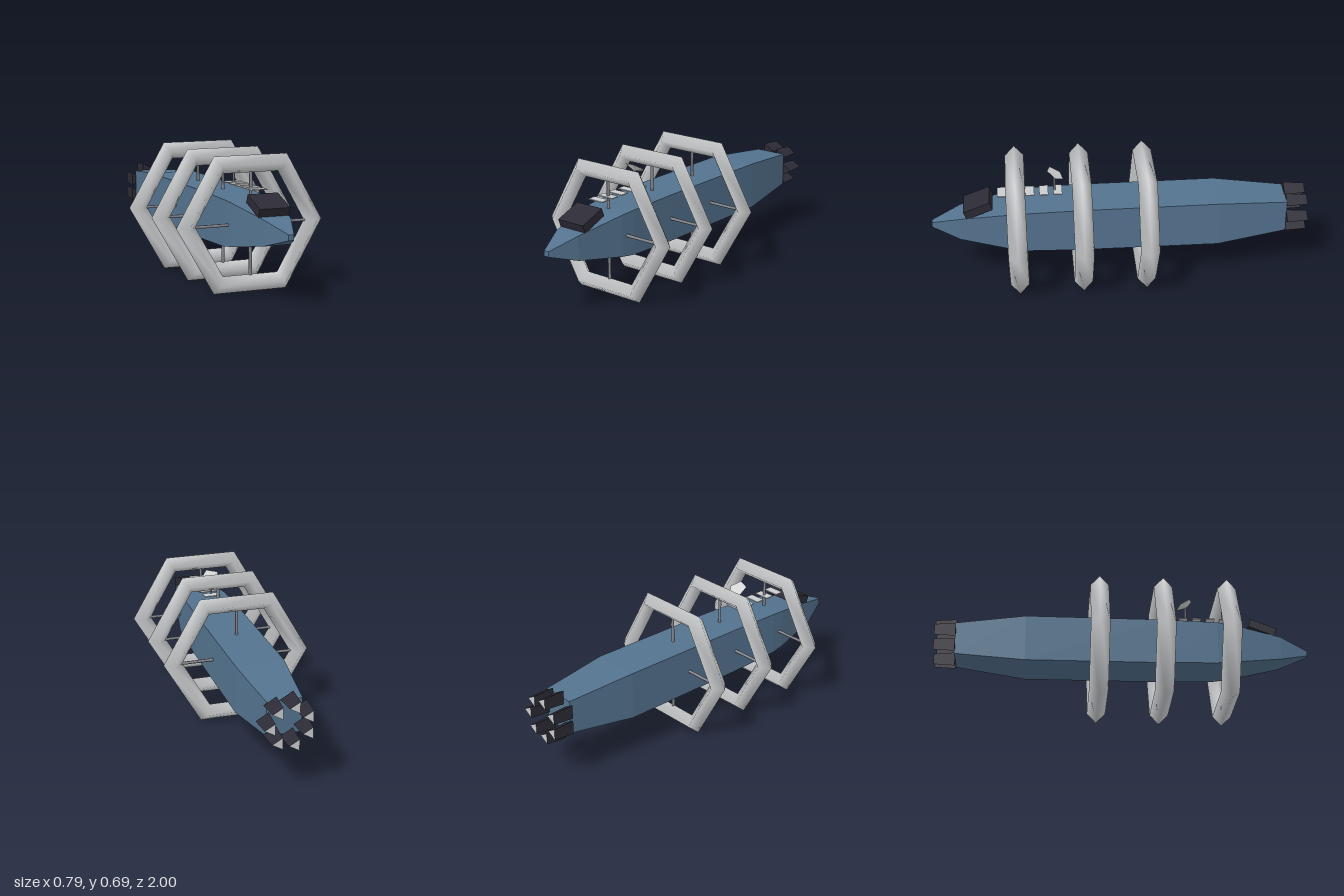
import * as THREE from 'three';

const CY = 0.346; // height of the long axis

const mat = (name, color, extra = {}) => {
  const m = new THREE.MeshStandardMaterial({ color, ...extra });
  m.name = name;
  return m;
};

// Square-section hull lofted through [z, halfWidth, bottom, top], front to back
function hullGeometry(sections) {
  const pos = [];
  const ring = ([z, w, b, t]) => [[w, b, z], [w, t, z], [-w, t, z], [-w, b, z]];
  const quad = (a, b, c, d) => pos.push(...a, ...b, ...c, ...a, ...c, ...d);
  const rings = sections.map(ring);
  for (let i = 0; i < rings.length - 1; i++) {
    const f = rings[i], r = rings[i + 1];
    for (let k = 0; k < 4; k++) {
      const n = (k + 1) % 4;
      quad(f[k], r[k], r[n], f[n]);
    }
  }
  const first = rings[0], last = rings[rings.length - 1];
  quad(first[0], first[1], first[2], first[3]);
  quad(last[3], last[2], last[1], last[0]);
  const g = new THREE.BufferGeometry();
  g.setAttribute('position', new THREE.Float32BufferAttribute(pos, 3));
  g.computeVertexNormals();
  return g;
}

export function createModel() {
  const model = new THREE.Group();
  model.name = 'spaceship';

  const blue = mat('hull blue', 0x54738f, { flatShading: true });
  const light = mat('light grey', 0xcaccce);
  const grey = mat('strut grey', 0x868890);
  const dark = mat('dark metal', 0x2c2a35, { flatShading: true });

  const add = (name, geo, material, parent = model) => {
    const m = new THREE.Mesh(geo, material);
    m.name = name;
    parent.add(m);
    return m;
  };

  // Hull
  add('hull', hullGeometry([
    [1.0, 0.014, 0.337, 0.365],
    [0.85, 0.072, 0.288, 0.416],
    [0.58, 0.119, 0.241, 0.461],
    [0.5, 0.126, 0.231, 0.468],
    [0.22, 0.128, 0.223, 0.474],
    [-0.52, 0.128, 0.219, 0.474],
    [-0.89, 0.09, 0.262, 0.441],
  ]), blue);

  // Three hexagonal habitat rings, each on four spokes
  const ringGeo = new THREE.TorusGeometry(0.347, 0.05, 4, 6);
  for (const z of [0.549, 0.207, -0.133]) {
    const group = new THREE.Group();
    group.name = 'ringAssembly';
    group.position.set(0, CY, z);
    model.add(group);
    add('ring', ringGeo, light, group);
    for (let k = 0; k < 4; k++) {
      const outer = k % 2 ? 0.3 : 0.262;
      const inner = 0.118;
      const geo = new THREE.CylinderGeometry(0.008, 0.008, outer - inner, 6);
      geo.translate(0, (outer + inner) / 2, 0);
      add('spoke', geo, grey, group).rotation.z = k * Math.PI / 2;
    }
  }

  // Seven three-sided thrusters around the tail
  const nozzleGeo = new THREE.CylinderGeometry(0.035, 0.043, 0.112, 3);
  nozzleGeo.rotateY(Math.PI / 2).rotateX(-Math.PI / 2);
  for (let i = 0; i < 7; i++) {
    const a = i * Math.PI * 2 / 7;
    // side and front faces dark, rear outlet light
    add('thruster', nozzleGeo, [dark, light, dark])
      .position.set(0.1 * Math.cos(a), 0.348 + 0.1 * Math.sin(a), -0.944);
  }

  // Tilted bridge block on the nose
  const bridge = add('bridge', new THREE.BoxGeometry(0.162, 0.046, 0.149), dark);
  bridge.position.set(0, 0.468, 0.75);
  bridge.rotation.x = 0.367;

  // Row of thin panels above the deck
  const panelGeo = new THREE.BoxGeometry(0.09, 0.005, 0.047);
  for (let i = 0; i < 5; i++) {
    add('panel', panelGeo, light).position.set(0, 0.528, 0.622 - i * 0.0735);
  }

  // Antenna dish on a short mast
  add('dishMast', new THREE.CylinderGeometry(0.006, 0.006, 0.085, 6), grey)
    .position.set(0, 0.568, 0.344);
  const dish = new THREE.Group();
  dish.name = 'antenna';
  dish.position.set(0, 0.622, 0.344);
  dish.rotation.x = -0.57;
  model.add(dish);
  const bowl = new THREE.CylinderGeometry(0.053, 0.004, 0.02, 5);
  bowl.rotateY(Math.PI / 2);
  add('dish', bowl, mat('dish grey', 0xd4d6d6, { flatShading: true }), dish);

  return model;
}
